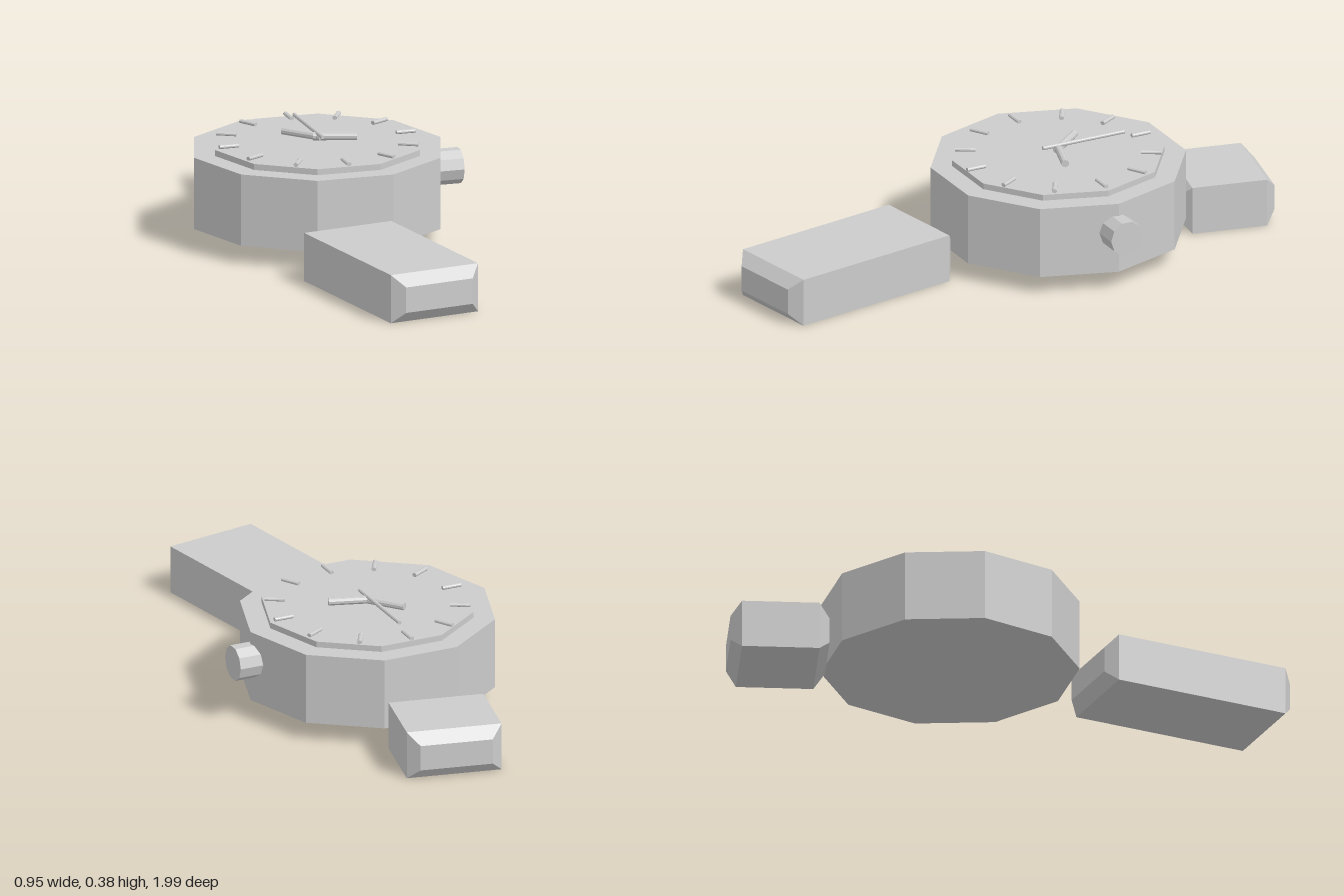
import * as THREE from 'three';

const CX = -0.033, CZ = -0.2; // centre of the watch case

export function createModel() {
  const model = new THREE.Group();
  model.name = 'wristwatch';
  const grey = new THREE.MeshStandardMaterial({ color: 0xcccccc, flatShading: true });
  grey.name = 'light grey';

  const add = (name, geometry, x, y, z) => {
    const mesh = new THREE.Mesh(geometry, grey);
    mesh.name = name;
    mesh.position.set(x, y, z);
    model.add(mesh);
    return mesh;
  };

  // Ten-sided upright prism with a corner pointing to +x
  const decagon = (name, radius, bottom, top) =>
    add(name, new THREE.CylinderGeometry(radius, radius, top - bottom, 10, 1, false, Math.PI / 2),
      CX, (bottom + top) / 2, CZ);
  decagon('case', 0.4425, 0.065, 0.317);
  decagon('dial', 0.3675, 0.317, 0.338);

  // Rod lying on the dial: starts and ends at the given distances from
  // the centre, angle measured clockwise from twelve o'clock
  const rod = (name, from, to, angle, width, height, y) => {
    const geometry = new THREE.CylinderGeometry(0.5, 0.5, to - from, 10);
    geometry.rotateX(Math.PI / 2);
    geometry.scale(width, height, 1);
    const mid = (from + to) / 2;
    const mesh = add(name, geometry, CX + Math.sin(angle) * mid, y, CZ - Math.cos(angle) * mid);
    mesh.rotation.y = -angle;
  };

  // Hour markers
  for (let i = 0; i < 12; i++) {
    rod('hourMarker' + (i + 1), 0.283, 0.352, (i + 1) * Math.PI / 6, 0.017, 0.014, 0.347);
  }

  // Hands
  rod('hourHand', -0.015, 0.135, 1.88, 0.027, 0.027, 0.3555);
  rod('minuteHand', -0.015, 0.14, -0.68, 0.027, 0.027, 0.3555);
  rod('secondHand', -0.06, 0.255, 0, 0.014, 0.014, 0.368);

  // Winding crown
  const crown = new THREE.CylinderGeometry(0.062, 0.062, 0.125, 10);
  crown.rotateZ(Math.PI / 2);
  add('crown', crown, 0.4125, 0.213, -0.198);

  // Strap stubs: blocks with bevelled ends
  const strap = (name, width, length, z, angle) => {
    const inset = 0.04, h = 0.17;
    const x = width / 2 - inset, y = h / 2 - inset;
    const shape = new THREE.Shape([
      new THREE.Vector2(-x, -y), new THREE.Vector2(x, -y),
      new THREE.Vector2(x, y), new THREE.Vector2(-x, y),
    ]);
    const geometry = new THREE.ExtrudeGeometry(shape, {
      depth: length, bevelEnabled: true, bevelSegments: 1,
      bevelSize: inset, bevelThickness: 0.037,
    });
    geometry.translate(0, 0, -length / 2);
    add(name, geometry, -0.034, h / 2, z).rotation.y = angle;
  };
  strap('frontStrap', 0.337, 0.63, 0.618, THREE.MathUtils.degToRad(10));
  strap('backStrap', 0.333, 0.265, -0.811, THREE.MathUtils.degToRad(-12));

  return model;
}
